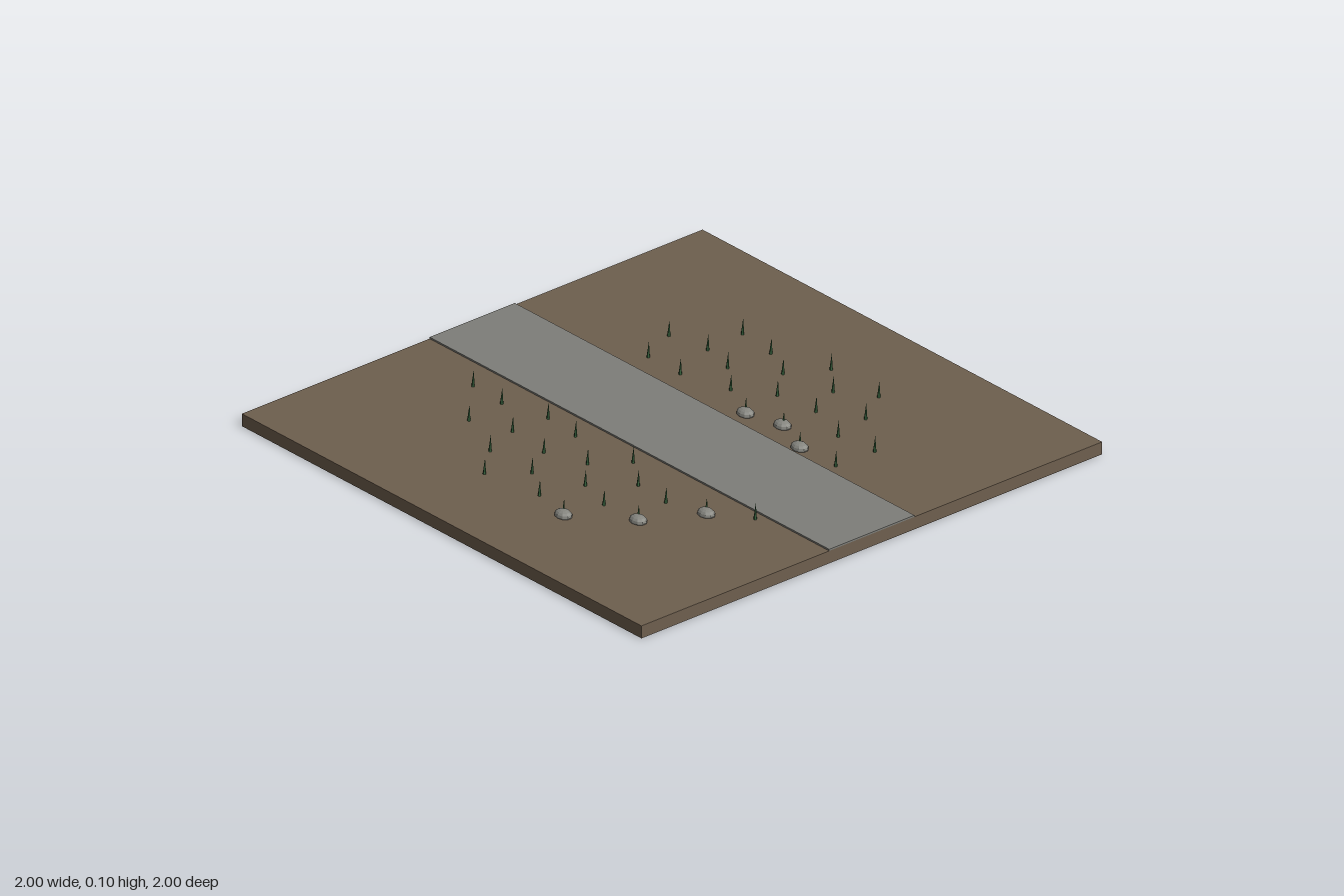
import * as THREE from 'three';

export function createModel() {
  const model = new THREE.Group();
  const mat = (name, color, flat = false) => {
    const m = new THREE.MeshStandardMaterial({ color, flatShading: flat });
    m.name = name;
    return m;
  };
  const soil = mat('soil brown', 0x6e5f4e);
  const paving = mat('path grey', 0x7e7e79);
  const stone = mat('stone grey', 0x85857f, true);
  const green = mat('grass green', 0x2f5a35, true);

  const add = (parent, name, geometry, material, x, y, z) => {
    const mesh = new THREE.Mesh(geometry, material);
    mesh.name = name;
    mesh.position.set(x, y, z);
    parent.add(mesh);
    return mesh;
  };

  // Ground slab and the slightly raised path along z
  const top = 0.046;
  add(model, 'ground', new THREE.BoxGeometry(2, top, 2), soil, 0, top / 2, 0);
  add(model, 'path', new THREE.BoxGeometry(0.37, 0.006, 2), paving, 0, top + 0.003, 0);

  // Half-buried flattened stones beside the path
  const stones = new THREE.Group();
  stones.name = 'stones';
  model.add(stones);
  const stoneGeometry = new THREE.SphereGeometry(1, 10, 8);
  stoneGeometry.scale(0.027, 0.02, 0.035);
  const stoneSpots = [
    [-0.68, 0.24], [-0.52, 0.43], [-0.32, 0.54],
    [0.245, 0.085], [0.28, 0.23], [0.22, 0.385],
  ];
  for (const [x, z] of stoneSpots) add(stones, 'stone', stoneGeometry, stone, x, 0.05, z);

  // Grass blades: slim cones with the tip leaning right and back
  const grass = new THREE.Group();
  grass.name = 'grass';
  model.add(grass);
  const blade = new THREE.ConeGeometry(0.006, 0.055, 5);
  blade.translate(0, 0.0275, 0);
  const pos = blade.attributes.position;
  for (let i = 0; i < pos.count; i++) {
    const t = pos.getY(i) / 0.055;
    pos.setX(i, pos.getX(i) + 0.008 * t);
    pos.setZ(i, pos.getZ(i) - 0.006 * t);
  }
  blade.computeVertexNormals();
  const leftSpots = [
    [0.27, -0.43], [0.42, -0.5], [0.45, -0.34], [0.61, -0.35], [0.27, -0.27],
    [0.415, -0.2], [0.59, -0.185], [0.32, -0.075], [0.525, -0.05], [0.41, 0.055],
    [0.665, 0.03], [0.565, 0.155], [0.43, 0.225], [0.655, 0.28], [0.37, 0.405],
    [0.52, 0.37], [0.225, 0.56], [0.39, 0.565], [0.25, 0.08], [0.28, 0.235], [0.225, 0.38],
  ];
  const rightSpots = [
    [-0.3, -0.65], [-0.47, -0.475], [-0.31, -0.495], [-0.415, -0.32], [-0.265, -0.315],
    [-0.56, -0.265], [-0.68, -0.155], [-0.435, -0.14], [-0.28, -0.16], [-0.56, -0.055],
    [-0.38, 0.015], [-0.645, 0.08], [-0.485, 0.125], [-0.26, 0.105], [-0.355, 0.24],
    [-0.53, 0.27], [-0.365, 0.39], [-0.22, 0.67], [-0.675, 0.235], [-0.515, 0.425], [-0.315, 0.535],
  ];
  for (const [x, z] of [...leftSpots, ...rightSpots]) add(grass, 'grassBlade', blade, green, x, top, z);

  return model;
}
